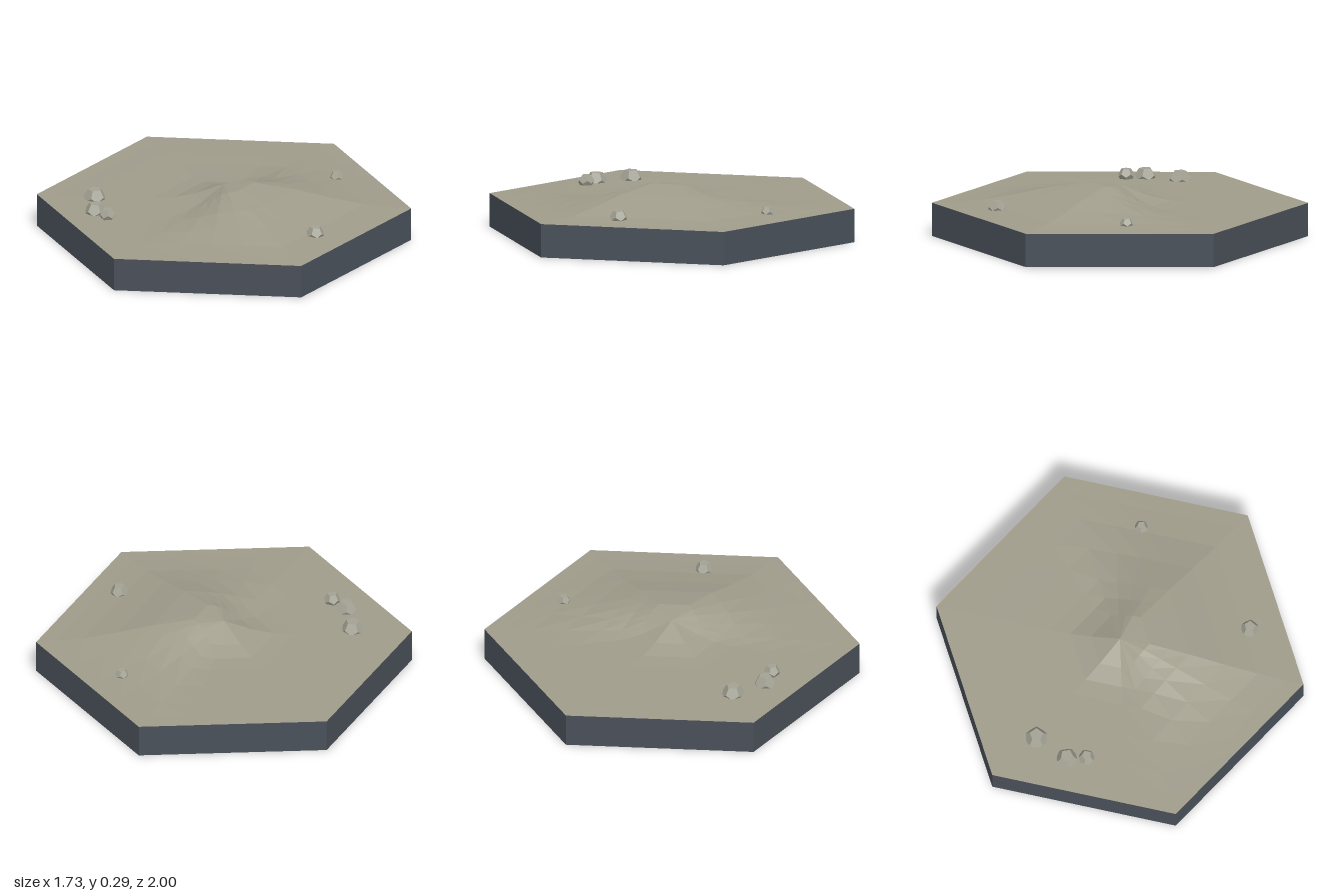
import * as THREE from 'three';

const BASE_H = 0.18;
const RINGS = [0, 0.16, 0.27, 0.38, 0.57, 0.75, 0.9, 1];
const GENTLE = [0.1, 0.115, 0.1, 0.085, 0.045, 0.015, 0.004, 0]; // long slope, +x side
const STEEP = [0.1, 0.038, 0.012, 0.006, 0.004, 0.003, 0.001, 0]; // short slope, -x side
const SEGMENTS = 24;

// Point of the terrain on one hexagonal ring
function terrainPoint(ring, seg) {
  const a = (seg / SEGMENTS) * Math.PI * 2;
  const sector = Math.PI / 3;
  const off = ((a + sector / 2) % sector) - sector / 2;
  const hexRadius = Math.cos(sector / 2) / Math.cos(sector / 2 - Math.abs(off));
  const r = RINGS[ring] * hexRadius;
  const w = THREE.MathUtils.smoothstep(Math.sin(a), -0.3, 0.9);
  const h = THREE.MathUtils.lerp(STEEP[ring], GENTLE[ring], w);
  return [r * Math.sin(a), BASE_H + h, r * Math.cos(a)];
}

function terrainGeometry() {
  const positions = [];
  for (let i = 0; i < RINGS.length - 1; i++) {
    for (let j = 0; j < SEGMENTS; j++) {
      const a = terrainPoint(i, j);
      const b = terrainPoint(i + 1, j);
      const c = terrainPoint(i + 1, j + 1);
      const d = terrainPoint(i, j + 1);
      positions.push(...a, ...b, ...c);
      if (i > 0) positions.push(...a, ...c, ...d);
    }
  }
  const g = new THREE.BufferGeometry();
  g.setAttribute('position', new THREE.Float32BufferAttribute(positions, 3));
  g.computeVertexNormals();
  return g;
}

export function createModel() {
  const model = new THREE.Group();
  model.name = 'hexTerrainTile';
  const material = (color) => new THREE.MeshStandardMaterial({ color, flatShading: true });
  const slate = material(0x4a515a);
  const soil = material(0xa09c8b);
  const stone = material(0xa3a294);
  const add = (name, geometry, mat, parent = model) => {
    const mesh = new THREE.Mesh(geometry, mat);
    mesh.name = name;
    parent.add(mesh);
    return mesh;
  };

  // Six-sided base: walls and underside
  add('baseWalls', new THREE.CylinderGeometry(1, 1, BASE_H, 6, 1, true).translate(0, BASE_H / 2, 0), slate);
  add('baseUnderside', new THREE.CircleGeometry(1, 6, Math.PI / 2).rotateX(Math.PI / 2), slate);

  // Lopsided hill covering the top
  add('terrain', terrainGeometry(), soil);

  // Half-buried rocks, one flat face up: x, y, z, radius, turn
  const rocks = new THREE.Group();
  rocks.name = 'rocks';
  model.add(rocks);
  const rockGeometry = new THREE.DodecahedronGeometry(1).rotateX(-Math.atan2(0.526, 0.851));
  const layout = [
    [-0.58, 0.187, 0.37, 0.06, 0.3],
    [-0.46, 0.189, 0.53, 0.057, 1.1],
    [-0.36, 0.202, 0.56, 0.043, 0.7],
    [0.685, 0.198, 0.12, 0.048, 0.2],
    [0.305, 0.196, -0.6, 0.036, 0.9],
  ];
  for (const [x, y, z, r, turn] of layout) {
    const rock = add('rock', rockGeometry, stone, rocks);
    rock.position.set(x, y, z);
    rock.scale.setScalar(r);
    rock.rotation.y = turn;
  }
  return model;
}
